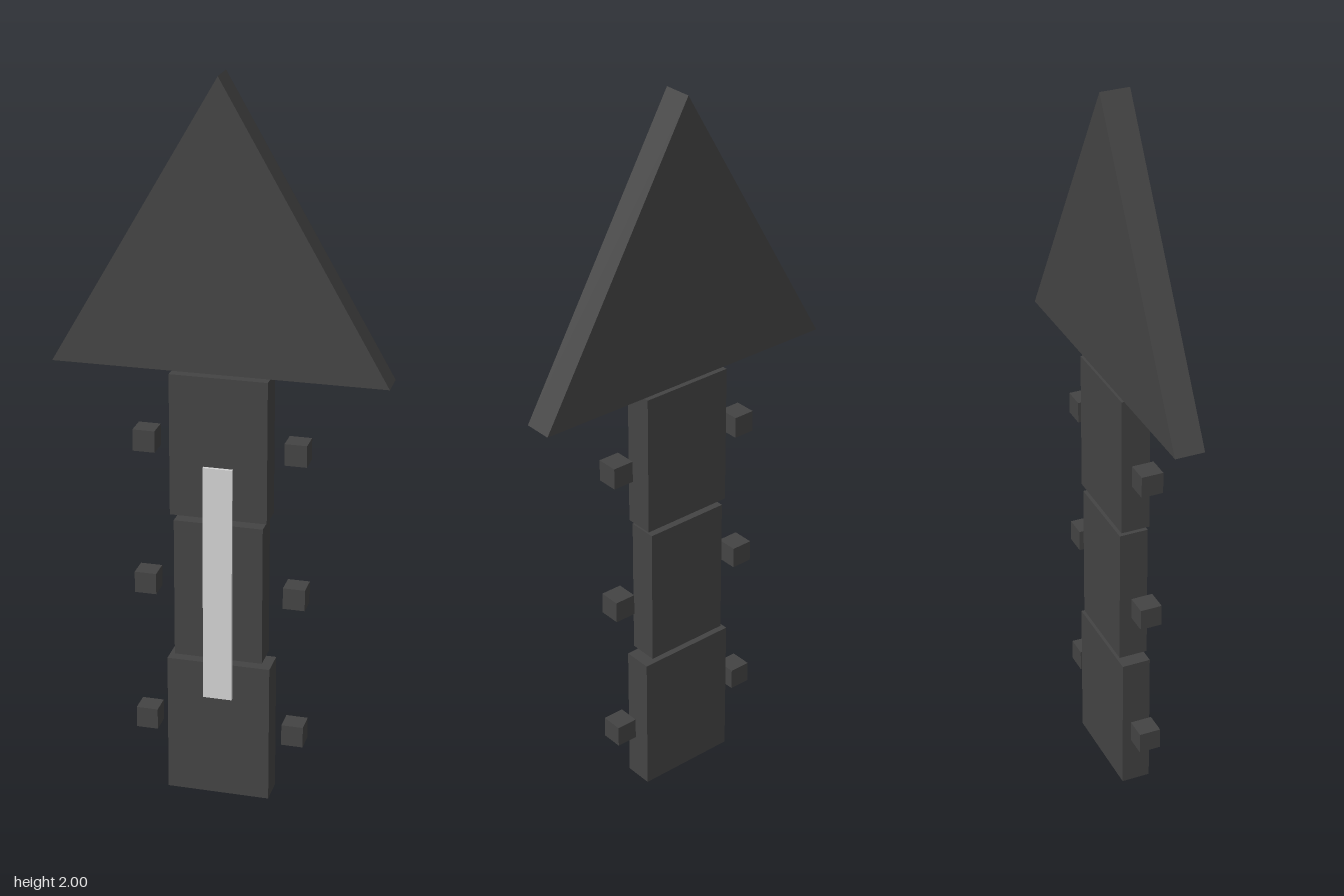
import * as THREE from 'three';

export function createModel() {
  const model = new THREE.Group();
  const dark = new THREE.MeshStandardMaterial({ color: 0x444444 });
  dark.name = 'darkGrey';
  const light = new THREE.MeshStandardMaterial({ color: 0xd4d4d4 });
  light.name = 'lightGrey';

  const depth = 0.08, midZ = -0.005;

  const add = (name, geometry, material, x, y, z) => {
    const mesh = new THREE.Mesh(geometry, material);
    mesh.name = name;
    mesh.position.set(x, y, z);
    model.add(mesh);
  };

  // Triangular head
  const triangle = new THREE.Shape([
    new THREE.Vector2(-0.448, 1.227),
    new THREE.Vector2(0.448, 1.227),
    new THREE.Vector2(0, 2),
  ]);
  const headGeometry = new THREE.ExtrudeGeometry(triangle, { depth, bevelEnabled: false });
  add('arrowHead', headGeometry, dark, 0, 0, midZ - depth / 2);

  // Three separate shaft blocks: width, bottom, top
  const blocks = [
    ['lowerBlock', 0.285, 0, 0.397],
    ['middleBlock', 0.243, 0.413, 0.807],
    ['upperBlock', 0.264, 0.823, 1.217],
  ];
  for (const [name, width, bottom, top] of blocks) {
    add(name, new THREE.BoxGeometry(width, top - bottom, depth), dark, 0, (bottom + top) / 2, midZ);
  }

  // Small cubes floating beside each block
  const cube = new THREE.BoxGeometry(0.06, 0.06, 0.06);
  for (const y of [0.198, 0.609, 1.02]) {
    add('leftCube', cube, dark, 0.205, y, midZ);
    add('rightCube', cube, dark, -0.205, y, midZ);
  }

  // Light strip on the front
  add('frontStrip', new THREE.BoxGeometry(0.08, 0.673, 0.009), light, 0, 0.632, 0.0395);

  return model;
}
